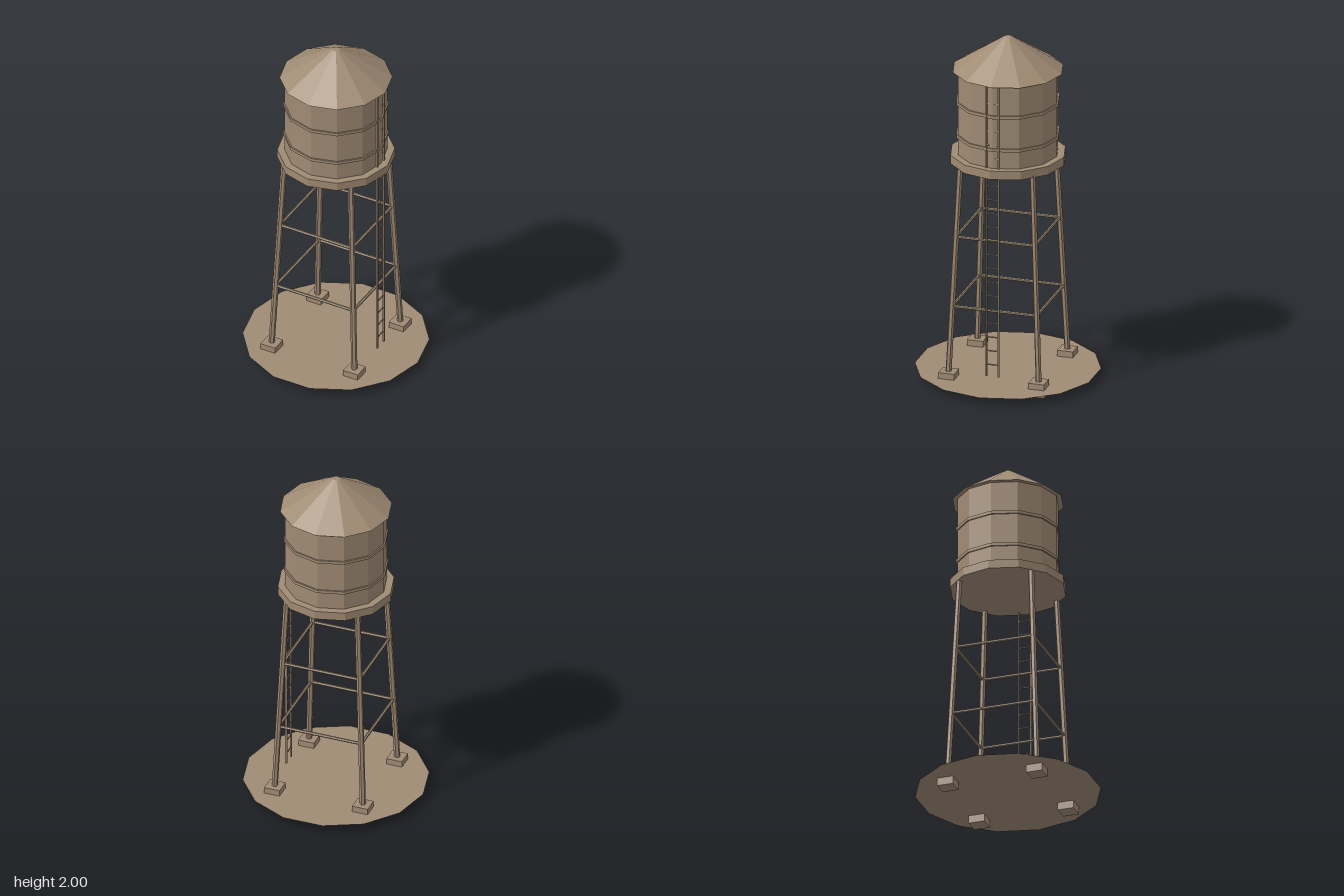
import * as THREE from 'three';

export function createModel() {
  const model = new THREE.Group();
  model.name = 'waterTower';
  const tan = new THREE.MeshStandardMaterial({ color: 0xa08b74, flatShading: true });
  tan.name = 'weatheredTan';
  const ground = new THREE.MeshStandardMaterial({ color: 0xa08b74, side: THREE.DoubleSide });
  ground.name = 'groundTan';

  const add = (name, geometry, x = 0, y = 0, z = 0, material = tan) => {
    const mesh = new THREE.Mesh(geometry, material);
    mesh.name = name;
    mesh.position.set(x, y, z);
    model.add(mesh);
    return mesh;
  };

  // Twelve-sided drum between two heights
  const drum = (name, rTop, rBottom, y0, y1) =>
    add(name, new THREE.CylinderGeometry(rTop, rBottom, y1 - y0, 12), 0, (y0 + y1) / 2, 0);

  // Straight bar between two points
  const bar = (name, a, b, radius, sides) => {
    const dir = b.clone().sub(a);
    const mid = a.clone().add(b).multiplyScalar(0.5);
    const mesh = add(name, new THREE.CylinderGeometry(radius, radius, dir.length(), sides), mid.x, mid.y, mid.z);
    mesh.quaternion.setFromUnitVectors(new THREE.Vector3(0, 1, 0), dir.normalize());
    return mesh;
  };

  // Ground disc
  add('groundDisc', new THREE.CircleGeometry(0.517, 14).rotateX(-Math.PI / 2), 0, 0.045, 0, ground);

  // Tank, platform, hoops and roof
  drum('platform', 0.325, 0.325, 1.27, 1.32);
  drum('tank', 0.284, 0.284, 1.32, 1.81);
  for (const y of [1.43, 1.625]) drum('tankHoop', 0.292, 0.292, y - 0.009, y + 0.009);
  drum('roof', 0.022, 0.312, 1.81, 2);

  // Splayed legs on footings
  const legOffset = (y) => 0.261 - 0.05 * (y - 0.08) / 1.19;
  const corner = (i, y) => {
    const [sx, sz] = [[1, 1], [1, -1], [-1, -1], [-1, 1]][i % 4];
    return new THREE.Vector3(sx * legOffset(y), y, sz * legOffset(y));
  };
  for (let i = 0; i < 4; i++) {
    const foot = corner(i, 0.08);
    add('footing', new THREE.BoxGeometry(0.092, 0.08, 0.092), foot.x, 0.04, foot.z);
    bar('leg', corner(i, 0.07), corner(i, 1.28), 0.017, 6);
    // Horizontal braces to the next leg
    for (const y of [0.46, 0.867]) bar('brace', corner(i, y), corner(i + 1, y), 0.009, 6);
  }

  // Ladder on the model's left side
  const ladderX = 0.281;
  for (const z of [-0.036, 0.036]) {
    add('ladderRail', new THREE.BoxGeometry(0.01, 1.725, 0.008), ladderX, 0.9475, z);
  }
  for (let i = 0; i < 20; i++) {
    const y = 0.153 + i * 0.0815;
    bar('ladderRung', new THREE.Vector3(ladderX - 0.003, y, -0.036), new THREE.Vector3(ladderX - 0.003, y, 0.036), 0.004, 5);
  }

  return model;
}
